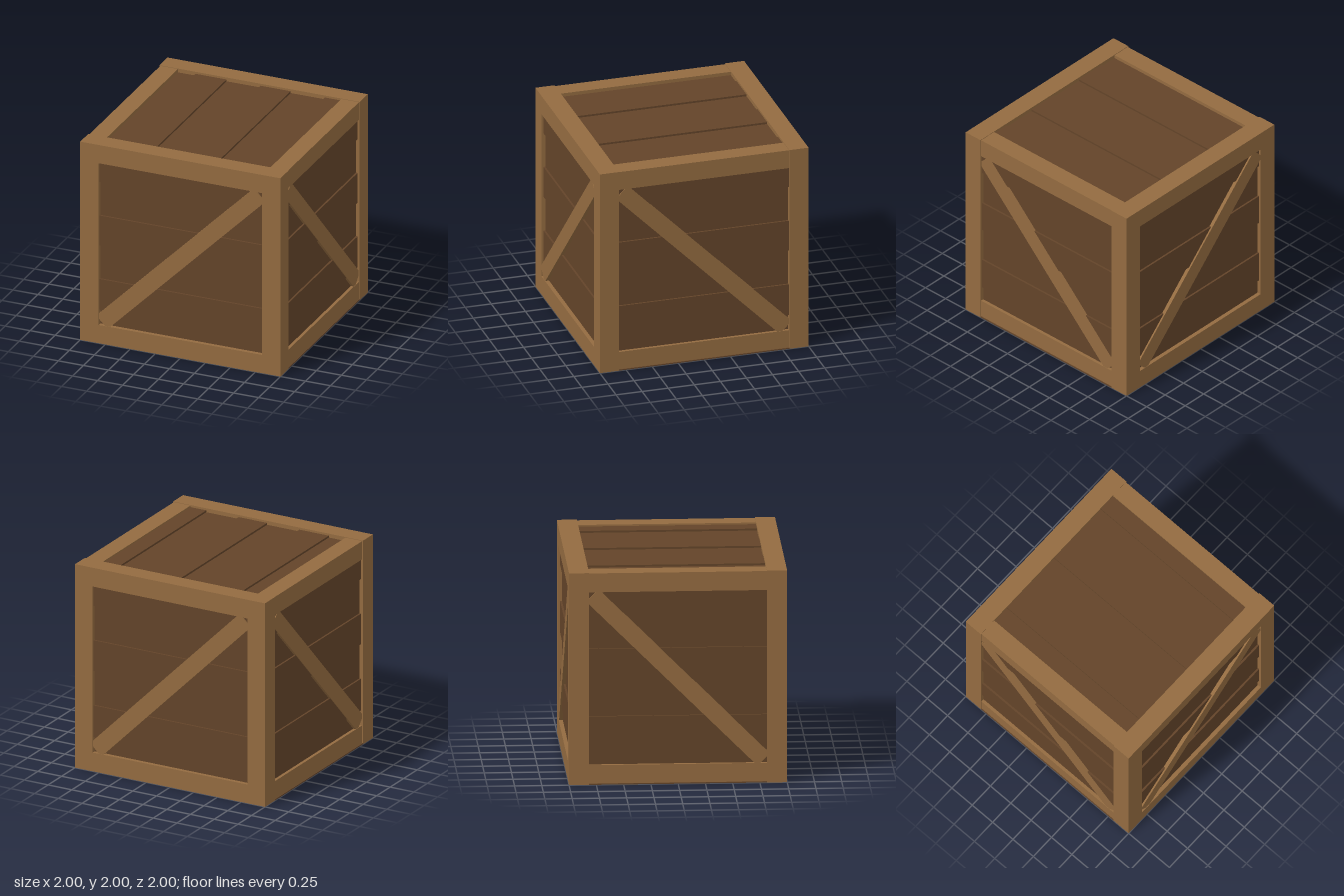
import * as THREE from 'three';

const frameMat = new THREE.MeshStandardMaterial({ color: 0x936b40 });
const plankMat = new THREE.MeshStandardMaterial({ color: 0x634429 });

const BEAM = 0.184;          // width of the frame timbers
const INNER = 1 - BEAM;      // half-width of each opening

// box between two corners
function box(name, mat, [x0, y0, z0], [x1, y1, z1]) {
  const mesh = new THREE.Mesh(new THREE.BoxGeometry(x1 - x0, y1 - y0, z1 - z0), mat);
  mesh.position.set((x0 + x1) / 2, (y0 + y1) / 2, (z0 + z1) / 2);
  mesh.name = name;
  return mesh;
}

// six boards stacked along y, facing +z, every second one standing proud
function planks(shift) {
  const g = new THREE.Group();
  g.name = 'planks';
  const cuts = [-0.9, -0.67 + shift, -0.36 + shift, -0.02 + shift, 0.28 + shift, 0.62 + shift, 0.9];
  for (let i = 0; i < 6; i++) {
    const face = i % 2 ? 0.98 : 0.962;
    g.add(box('plank', plankMat, [-0.9, cuts[i], 0.9], [0.9, cuts[i + 1], face]));
  }
  return g;
}

// one wall: boards plus a diagonal brace
function wall(name, angle, slope, braceFace) {
  const g = new THREE.Group();
  g.name = name;
  const brace = box('diagonalBrace', frameMat, [-1.11, -0.081, 0.92], [1.11, 0.081, braceFace]);
  brace.rotation.z = slope * Math.PI / 4;
  g.add(planks(0), brace);
  g.rotation.y = angle;
  return g;
}

export function createModel() {
  const root = new THREE.Group();
  root.name = 'crate';
  const body = new THREE.Group();
  body.name = 'crateBody';
  body.position.y = 1;
  root.add(body);

  // walls; opposite walls match under a half turn
  body.add(wall('frontWall', 0, 1, 0.996));
  body.add(wall('rightSideWall', Math.PI / 2, -1, 0.988));
  body.add(wall('backWall', Math.PI, 1, 0.996));
  body.add(wall('leftSideWall', -Math.PI / 2, -1, 0.988));

  // lid boards run front to back
  const lid = planks(0.03);
  lid.name = 'lid';
  lid.quaternion.setFromRotationMatrix(new THREE.Matrix4().makeBasis(
    new THREE.Vector3(0, 0, 1), new THREE.Vector3(1, 0, 0), new THREE.Vector3(0, 1, 0)));
  body.add(lid);

  // floor panel reaches through under the side beams
  body.add(box('floorPanel', plankMat, [-1, -1, -INNER], [1, -0.99, INNER]));

  // timber frame
  for (const s of [-1, 1]) {
    const a = s < 0 ? -1 : INNER, b = s < 0 ? -INNER : 1;
    for (const t of [-1, 1]) {
      const c = t < 0 ? -1 : INNER, d = t < 0 ? -INNER : 1;
      body.add(box('cornerPost', frameMat, [a, -INNER, c], [b, INNER, d]));
      body.add(box('crossBeam', frameMat, [-1, a, c], [1, b, d]));
      // side beams sit slightly inside the ends of the cross beams
      body.add(box('sideBeam', frameMat,
        [Math.max(c, -0.992), Math.max(a, -0.992), -INNER],
        [Math.min(d, 0.992), Math.min(b, 0.995), INNER]));
    }
  }
  return root;
}
